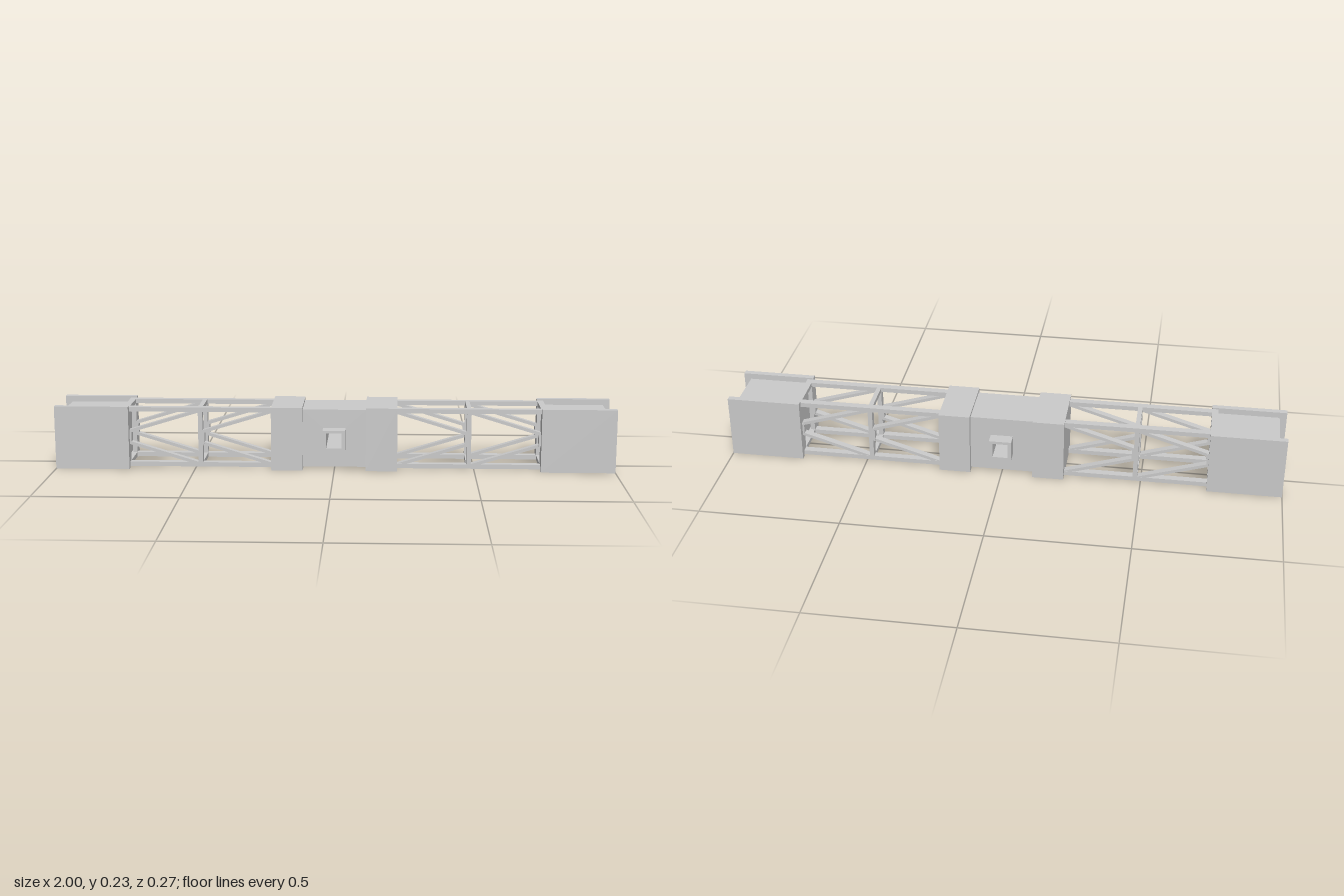
import * as THREE from 'three';

const material = new THREE.MeshStandardMaterial({ color: 0xcccccc, flatShading: true });
const H = 0.228, MID = H / 2;
const BEAM = 0.016;           // truss member thickness
const Z0 = 0.063, Z1 = 0.089; // depth range of each truss side

function add(parent, name, geometry) {
  const mesh = new THREE.Mesh(geometry, material);
  mesh.name = name;
  parent.add(mesh);
  return mesh;
}

// box given by its min and max along each axis
function box(parent, name, [x0, x1], [y0, y1], [z0, z1]) {
  const mesh = add(parent, name, new THREE.BoxGeometry(x1 - x0, y1 - y0, z1 - z0));
  mesh.position.set((x0 + x1) / 2, (y0 + y1) / 2, (z0 + z1) / 2);
  return mesh;
}

// slanted bar between two points of a vertical truss side
function brace(parent, xa, ya, xb, yb, z) {
  const len = Math.hypot(xb - xa, yb - ya);
  const bar = add(parent, 'diagonalBrace', new THREE.BoxGeometry(len, 0.011, Z1 - Z0 - 0.002));
  bar.position.set((xa + xb) / 2, (ya + yb) / 2, z);
  bar.rotation.z = Math.atan2(yb - ya, xb - xa);
}

// rectangular block with a square hole running along z
function holedBlock(parent, name, hx, hy, hole, z0, z1) {
  const rect = (P, a, b) => new P([
    new THREE.Vector2(-a, -b), new THREE.Vector2(a, -b),
    new THREE.Vector2(a, b), new THREE.Vector2(-a, b)]);
  const shape = rect(THREE.Shape, hx, hy);
  shape.holes.push(rect(THREE.Path, hole, hole));
  const mesh = add(parent, name, new THREE.ExtrudeGeometry(shape, { depth: z1 - z0, bevelEnabled: false }));
  mesh.position.set(0, MID + 0.001, z0);
}

function createArm() {
  const arm = new THREE.Group();
  arm.name = 'trussArm';
  box(arm, 'collar', [0.113, 0.225], [0, H], [-0.11, 0.11]);

  // end fitting: recessed core between two side plates
  box(arm, 'endCore', [0.757, 0.975], [0.023, 0.207], [-Z1, Z1]);
  box(arm, 'endPlate', [0.735, 1], [0, H], [Z1, 0.11]);
  box(arm, 'endPlate', [0.735, 1], [0, H], [-0.11, -Z1]);

  // upper and lower chords with cross beams between them
  for (const y of [0.007, 0.207]) {
    const ys = [y, y + BEAM];
    box(arm, 'chord', [0.225, 0.757], ys, [Z0, Z1]);
    box(arm, 'chord', [0.225, 0.757], ys, [-Z1, -Z0]);
    box(arm, 'crossBeam', [0.472, 0.488], ys, [-Z0, Z0]);
    box(arm, 'crossBeam', [0.735, 0.757], ys, [-Z0, Z0]);
  }

  // posts and K-shaped bracing of both sides
  for (const s of [-1, 1]) {
    const zs = s > 0 ? [Z0, Z1] : [-Z1, -Z0];
    const z = s * (Z0 + Z1) / 2;
    for (const x of [0.472, 0.735])
      box(arm, 'post', [x, x + BEAM], [0.023, 0.207], zs);
    for (const x of [0.474, 0.737]) {
      box(arm, 'braceNode', [x - 0.009, x], [MID - 0.024, MID + 0.024], zs);
      for (const up of [-1, 1])
        brace(arm, x, MID + up * 0.02, x - 0.25, MID + up * 0.096, z);
    }
  }
  return arm;
}

export function createModel() {
  const model = new THREE.Group();
  model.name = 'trussBeam';

  // hub with a square socket opening through it
  holedBlock(model, 'hub', 0.115, 0.104, 0.027, -0.09, 0.09);
  holedBlock(model, 'frontSocket', 0.04, 0.037, 0.027, 0.09, 0.135);
  holedBlock(model, 'backSocket', 0.04, 0.037, 0.027, -0.135, -0.09);

  const leftArm = createArm();
  const rightArm = createArm();
  rightArm.rotation.y = Math.PI;
  model.add(leftArm, rightArm);
  return model;
}
